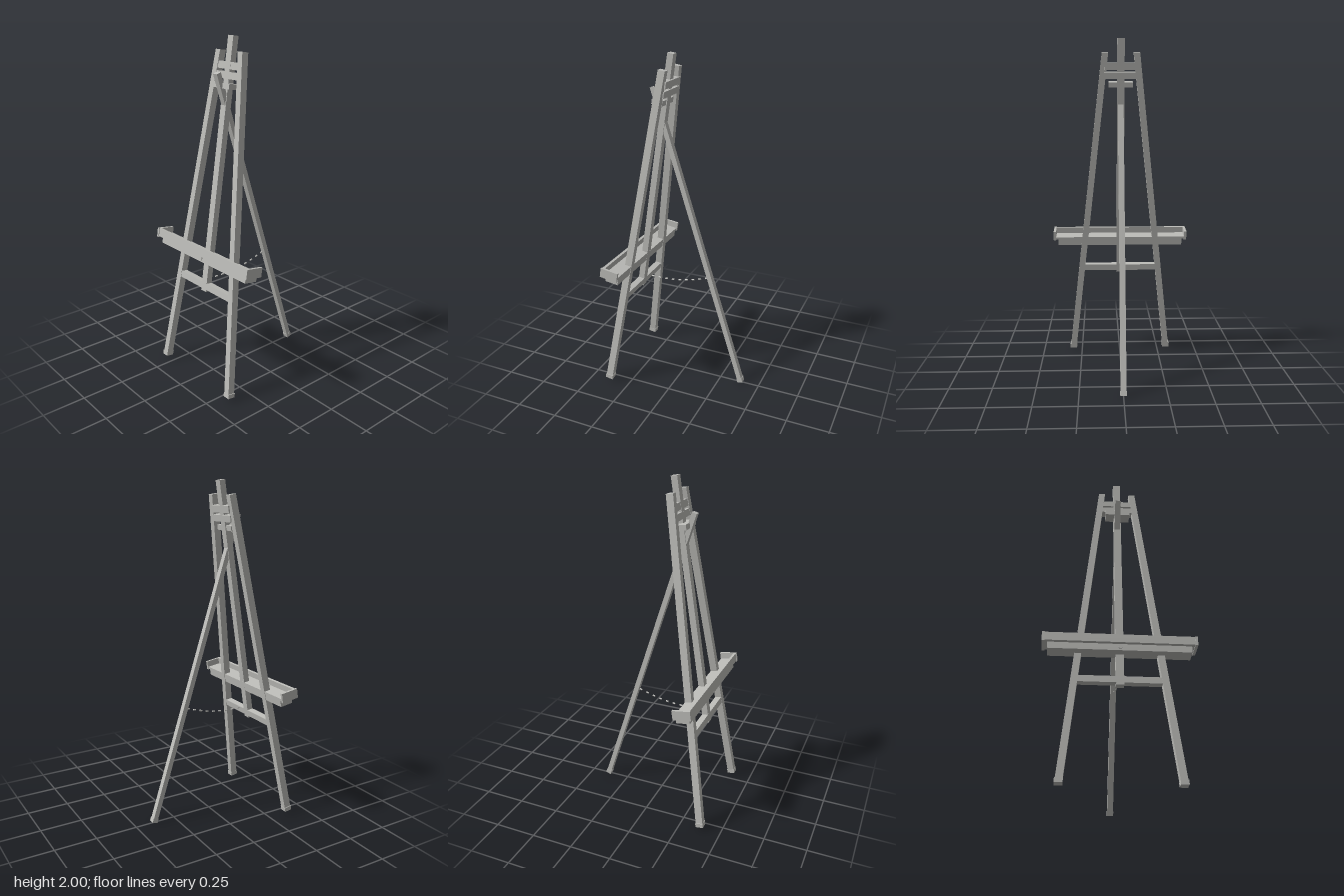
import * as THREE from 'three';

export function createModel() {
  const model = new THREE.Group();
  model.name = 'easel';
  const wood = new THREE.MeshStandardMaterial({ color: 0xbcbcb8 });
  wood.name = 'pale grey wood';

  function add(parent, name, geometry, x, y, z) {
    const mesh = new THREE.Mesh(geometry, wood);
    mesh.name = name;
    mesh.position.set(x, y, z);
    parent.add(mesh);
    return mesh;
  }
  const box = (parent, name, w, h, d, x, y, z) =>
    add(parent, name, new THREE.BoxGeometry(w, h, d), x, y, z);

  // Front frame leans back; its own y runs along the legs
  const frame = new THREE.Group();
  frame.name = 'frontFrame';
  frame.position.set(0, 0.02, 0.377);
  frame.rotation.x = -0.151;
  model.add(frame);

  // Splayed front legs with level-cut ends, and their feet
  const legLength = 1.92, footX = 0.306, topX = 0.0935;
  for (const side of [1, -1]) {
    const leg = new THREE.BoxGeometry(0.038, legLength, 0.042);
    const p = leg.attributes.position;
    for (let i = 0; i < p.count; i++) {
      const t = p.getY(i) / legLength + 0.5;
      p.setX(i, p.getX(i) + side * THREE.MathUtils.lerp(footX, topX, t));
    }
    leg.computeVertexNormals();
    add(frame, 'frontLeg', leg, 0, legLength / 2, 0);
    box(frame, 'frontFoot', 0.043, 0.025, 0.046, side * (footX - 0.001), 0.0125, 0);
  }

  // Central mast and cross rails
  box(frame, 'mast', 0.044, 1.46, 0.037, 0, 1.27, 0);
  box(frame, 'lowerRail', 0.46, 0.038, 0.038, 0, 0.572, 0);
  box(frame, 'upperRail', 0.19, 0.04, 0.046, 0, 1.84, -0.006);
  box(frame, 'topRail', 0.2, 0.038, 0.046, 0, 1.787, -0.004);
  box(frame, 'hingeBlock', 0.146, 0.03, 0.066, 0, 1.731, 0.02);

  // Canvas tray: shelf, front lip, end plates, supporting bar and knob
  box(frame, 'trayShelf', 0.81, 0.014, 0.1, 0, 0.771, 0.031);
  box(frame, 'trayLip', 0.81, 0.05, 0.016, 0, 0.789, 0.073);
  for (const side of [1, -1])
    box(frame, 'trayEnd', 0.015, 0.056, 0.108, side * 0.4125, 0.787, 0.031);
  box(frame, 'trayBar', 0.78, 0.039, 0.08, 0, 0.7445, 0.022);
  const knob = add(frame, 'trayKnob', new THREE.CylinderGeometry(0.012, 0.012, 0.008, 16), 0, 0.746, 0.064);
  knob.rotation.x = Math.PI / 2;

  // Rear leg leans forward through the hinge block
  const rear = box(model, 'rearLeg', 0.034, 1.88, 0.029, 0, 0.912, -0.094);
  rear.rotation.x = 0.31;
  const rearFoot = box(model, 'rearFoot', 0.037, 0.025, 0.034, 0, 0.0172, -0.381);
  rearFoot.rotation.x = 0.31;

  // Sagging safety chain made of small separate links
  const sag = new THREE.CatmullRomCurve3([
    new THREE.Vector3(0, 0.622, 0.215), new THREE.Vector3(0, 0.622, 0.13),
    new THREE.Vector3(0, 0.633, 0.02), new THREE.Vector3(0, 0.655, -0.07),
    new THREE.Vector3(0, 0.677, -0.142),
  ]);
  const chain = new THREE.Group();
  chain.name = 'chain';
  model.add(chain);
  const up = new THREE.Vector3(0, 1, 0);
  for (let i = 0; i < 9; i++) {
    const at = sag.getPointAt(i / 8);
    const link = add(chain, 'chainLink', new THREE.CylinderGeometry(0.005, 0.005, 0.016, 8), at.x, at.y, at.z);
    link.quaternion.setFromUnitVectors(up, sag.getTangentAt(i / 8));
  }
  return model;
}
